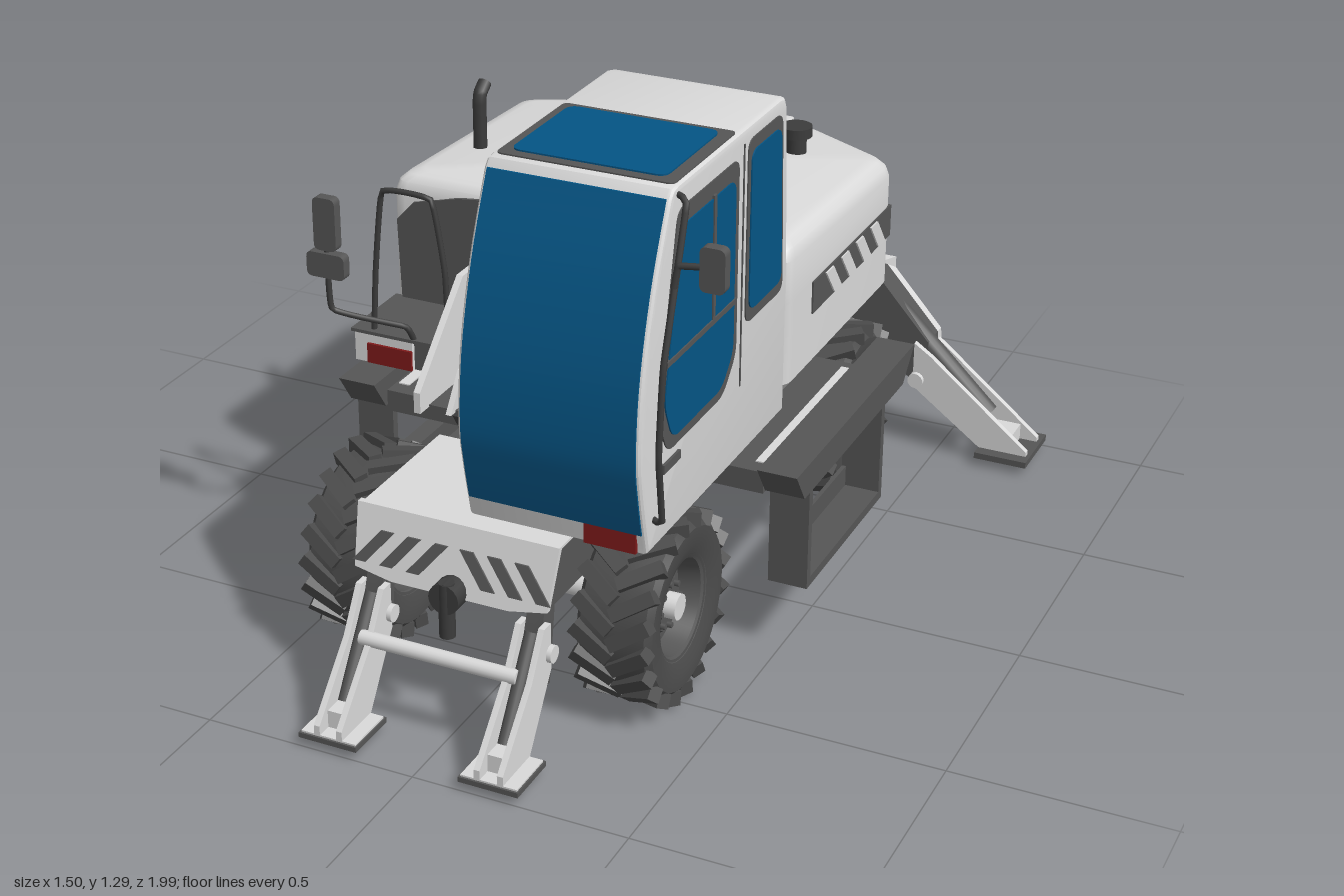
import * as THREE from 'three';
import { toCreasedNormals } from 'three/addons/utils/BufferGeometryUtils.js';

const mat = (name, color) => Object.assign(new THREE.MeshStandardMaterial({ color }), { name });
const white = mat('body white', 0xdadada);
const grey = mat('frame grey', 0x565656);
const rubber = mat('tyre rubber', 0x4b4b4b);
const black = mat('trim black', 0x3c3c3c);
const blue = mat('glass blue', 0x045585);
const red = mat('lamp red', 0x7e1a1a);
grey.side = THREE.DoubleSide;

const V = (x, y, z) => new THREE.Vector3(x, y, z);

export function createModel() {
  const root = new THREE.Group();
  root.name = 'wheeledExcavator';

  // ---- helpers ----
  const add = (name, geo, m, parent = root) => {
    const mesh = new THREE.Mesh(geo, m);
    mesh.name = name;
    parent.add(mesh);
    return mesh;
  };
  const box = (name, m, [x0, x1], [y0, y1], [z0, z1], parent) =>
    add(name, new THREE.BoxGeometry(x1 - x0, y1 - y0, z1 - z0)
      .translate((x0 + x1) / 2, (y0 + y1) / 2, (z0 + z1) / 2), m, parent);
  const rod = (name, m, a, b, r, parent, sides = 16) => {
    const d = b.clone().sub(a);
    const mesh = add(name, new THREE.CylinderGeometry(r, r, d.length(), sides), m, parent);
    mesh.position.copy(a).add(b).multiplyScalar(0.5);
    mesh.quaternion.setFromUnitVectors(V(0, 1, 0), d.normalize());
  };
  const tube = (name, m, pts, r) => add(name, new THREE.TubeGeometry(
    new THREE.CatmullRomCurve3(pts.map((p) => V(...p)), false, 'catmullrom', 0.15), 40, r, 8), m);
  const poly = (pts) => new THREE.Shape(pts.map((p) => new THREE.Vector2(...p)));
  const roundPoly = (pts, r) => {
    const s = new THREE.Shape();
    const v = pts.map((p) => new THREE.Vector2(...p));
    v.forEach((c, i) => {
      const toward = (q) => c.clone().add(q.clone().sub(c).setLength(r));
      const a = toward(v[(i + v.length - 1) % v.length]);
      const b = toward(v[(i + 1) % v.length]);
      if (i) s.lineTo(a.x, a.y); else s.moveTo(a.x, a.y);
      s.quadraticCurveTo(c.x, c.y, b.x, b.y);
    });
    s.closePath();
    return s;
  };
  const rect = (x0, x1, y0, y1, r) => roundPoly([[x0, y0], [x1, y0], [x1, y1], [x0, y1]], r);
  const shrink = (pts, k) => {
    const c = [0, 1].map((i) => pts.reduce((t, p) => t + p[i], 0) / pts.length);
    return pts.map((p) => p.map((q, i) => c[i] + (q - c[i]) * k));
  };
  // shape in (z, y), spanning x0..x1
  const sideSlab = (name, m, shape, x0, x1, bevel = 0, parent) => add(name, toCreasedNormals(
    new THREE.ExtrudeGeometry(shape, {
      depth: x1 - x0 - 2 * bevel, bevelEnabled: bevel > 0, bevelSize: bevel,
      bevelThickness: bevel, bevelOffset: -bevel, bevelSegments: 3, curveSegments: 6,
    }).rotateY(-Math.PI / 2).translate(x1 - bevel, 0, 0), 0.5), m, parent);
  // shape in (x, y), spanning z0..z1
  const frontSlab = (name, m, shape, z0, z1) => add(name, new THREE.ExtrudeGeometry(shape,
    { depth: z1 - z0, bevelEnabled: false, curveSegments: 8 }).translate(0, 0, z0), m);
  // shape in (x, -z), spanning y0..y1
  const topSlab = (name, m, shape, y0, y1) => add(name, new THREE.ExtrudeGeometry(shape,
    { depth: y1 - y0, bevelEnabled: false }).rotateX(-Math.PI / 2).translate(0, y0, 0), m);
  const slant = (x, y, w, h, lean) => poly([[x, y], [x + w, y], [x + w + lean, y + h], [x + lean, y + h]]);

  // ---- wheels ----
  const lathe = (pts, turn) => toCreasedNormals(new THREE.LatheGeometry(
    pts.map((p) => new THREE.Vector2(...p)), 40).rotateZ(turn), 0.5);
  const makeWheel = (x, z, side) => {
    const w = new THREE.Group();
    w.name = 'wheel';
    add('tyre', lathe([[0.115, -0.075], [0.15, -0.088], [0.185, -0.088], [0.2, -0.075], [0.207, 0],
      [0.2, 0.075], [0.185, 0.088], [0.15, 0.088], [0.115, 0.075]], -Math.PI / 2), rubber, w);
    for (let i = 0; i < 40; i++) {
      const s = i % 2 ? 1 : -1;
      add('treadLug', new THREE.BoxGeometry(0.106, 0.034, 0.031).rotateY(s * 0.6)
        .translate(s * 0.043, 0.2015, 0).rotateX((i * Math.PI) / 20), rubber, w);
    }
    add('rim', lathe([[0.122, 0.078], [0.11, 0.07], [0.1, 0.02], [0.075, 0.02], [0.06, 0.04], [0, 0.04]],
      (-side * Math.PI) / 2), grey, w);
    add('innerRim', lathe([[0.122, 0.078], [0.114, 0.07], [0.11, 0], [0, 0]], (side * Math.PI) / 2), grey, w);
    rod('hub', white, V(0, 0, 0), V(side * 0.07, 0, 0), 0.03, w);
    for (let i = 0; i < 8; i++) {
      const a = (i * Math.PI) / 4;
      rod('wheelNut', grey, V(0, 0.05 * Math.cos(a), 0.05 * Math.sin(a)),
        V(side * 0.052, 0.05 * Math.cos(a), 0.05 * Math.sin(a)), 0.007, w, 6);
    }
    w.position.set(x, 0.22, z);
    root.add(w);
  };
  for (const z of [0.474, -0.573]) {
    makeWheel(0.305, z, 1);
    makeWheel(-0.357, z, -1);
    rod('axle', white, V(-0.35, 0.22, z), V(0.3, 0.22, z), 0.03);
    box('axleHousing', grey, [-0.13, 0.07], [0.2, 0.34], [z - 0.07, z + 0.07]);
  }

  // ---- chassis ----
  sideSlab('chassis', grey, poly([[0.73, 0.462], [0.77, 0.32], [0.22, 0.32], [0.22, 0.2], [-0.27, 0.2],
    [-0.27, 0.32], [-0.85, 0.32], [-0.85, 0.462]]), -0.23, 0.2);
  box('chassisTop', white, [-0.25, 0.22], [0.46, 0.466], [0.4, 0.74]);
  box('midDeck', grey, [-0.47, 0.47], [0.41, 0.462], [-0.34, 0.25]);
  rod('driveShaft', white, V(-0.02, 0.26, 0.4), V(-0.02, 0.26, -0.5), 0.03);
  add('turntable', new THREE.CylinderGeometry(0.268, 0.268, 0.065, 48).translate(-0.06, 0.493, 0.135), black);

  // ---- side steps ----
  for (const s of [1, -1]) {
    const g = new THREE.Group();
    g.name = 'sideStep';
    root.add(g);
    const span = (a, b) => (s > 0 ? [a, b] : [-b, -a]);
    sideSlab('upperStep', grey, poly([[0.3, 0.494], [0.25, 0.42], [-0.37, 0.42], [-0.44, 0.494]]), ...span(0.475, 0.568), 0, g);
    box('lowerStep', grey, span(0.475, 0.568), [0.178, 0.2], [-0.25, 0.22], g);
    box('lowerStepEdge', grey, span(0.475, 0.485), [0.2, 0.25], [-0.25, 0.22], g);
    for (const z of [-0.25, 0.2]) box('stepLeg', grey, span(0.475, 0.568), [0.2, 0.42], [z, z + 0.02], g);
    box('stepBracket', white, span(0.435, 0.462), [0.44, 0.465], [-0.31, 0.21], g);
  }

  // ---- front stabiliser: the nose plate leans forward toward its foot ----
  const lean = new THREE.Matrix4().makeShear(0, 0, 0, -0.3, 0, 0);
  const noseSlab = (name, m, shape, z0, z1) =>
    frontSlab(name, m, shape, z0 + 0.1398, z1 + 0.1398).geometry.applyMatrix4(lean);
  noseSlab('frontPlate', white, poly([[-0.26, 0.466], [-0.25, 0.33], [-0.16, 0.315], [0.12, 0.315],
    [0.21, 0.33], [0.22, 0.466]]), 0.728, 0.742);
  for (const s of [1, -1]) for (const d of [0.09, 0.155, 0.22]) {
    noseSlab('frontStripe', grey, slant(-0.02 + s * d - 0.016, 0.345, 0.032, 0.072, -s * 0.06), 0.742, 0.746);
  }
  for (const x of [-0.205, 0.178]) {
    sideSlab('frontArm', grey, poly([[0.72, 0.34], [0.765, 0.34], [0.8, 0.24], [0.79, 0.14], [0.75, 0.14]]),
      x - 0.02, x + 0.02);
    for (const o of [-0.034, 0.02]) {
      sideSlab('frontLeg', white, poly([[0.77, 0.3], [0.8, 0.3], [0.86, 0.2], [0.995, 0.055], [0.995, 0.03], [0.875, 0.03],
        [0.77, 0.19]]), x + o, x + o + 0.014);
    }
    box('frontLegWeb', white, [x - 0.03, x + 0.03], [0.03, 0.075], [0.89, 0.96]);
    rod('frontPiston', grey, V(x, 0.28, 0.79), V(x, 0.08, 0.92), 0.016);
    rod('frontPivot', white, V(x - 0.045, 0.23, 0.775), V(x + 0.045, 0.23, 0.775), 0.02);
    box('frontFoot', grey, [x - 0.07, x + 0.07], [0.018, 0.03], [0.87, 1]);
    box('frontFootTop', white, [x - 0.066, x + 0.066], [0.03, 0.034], [0.875, 0.995]);
  }
  rod('frontCrossbar', white, V(-0.2, 0.203, 0.85), V(0.175, 0.203, 0.85), 0.017);
  rod('towHitch', black, V(-0.015, 0.325, 0.74), V(-0.015, 0.325, 0.82), 0.036);
  rod('towPin', black, V(-0.015, 0.23, 0.805), V(-0.015, 0.36, 0.805), 0.018);

  // ---- rear stabiliser ----
  const beam = poly([[-0.31, 0.458], [-0.46, 0.29], [-0.47, 0.19], [-0.42, 0.18], [-0.2, 0.29],
    [0.2, 0.29], [0.42, 0.18], [0.47, 0.19], [0.46, 0.29], [0.31, 0.458]]);
  frontSlab('rearBeam', white, beam, -0.97, -0.945);
  frontSlab('rearBeamCore', grey, beam, -0.945, -0.87);
  topSlab('rearBridge', white, poly([[-0.33, 0.97], [-0.24, 0.8], [-0.24, 0.55], [0.24, 0.55], [0.24, 0.8],
    [0.33, 0.97]]), 0.435, 0.465);
  for (const s of [1, -1]) {
    for (const d of [0.05, 0.14, 0.23, 0.32]) {
      frontSlab('rearStripe', grey, slant(s * d - 0.02, 0.325 - Math.max(0, d - 0.2) * 0.4, 0.04, 0.085, -s * 0.06), -0.975, -0.97);
    }
    const leg = [[0.43, 0.29], [0.475, 0.26], [0.74, 0.045], [0.74, 0.03], [0.62, 0.03], [0.43, 0.17]]
      .map(([x, y]) => [s * x, y]);
    for (const z of [-0.96, -0.868]) frontSlab('rearLeg', white, poly(leg), z, z + 0.016);
    box('rearLegWeb', white, [s * 0.66 - 0.035, s * 0.66 + 0.035], [0.03, 0.075], [-0.955, -0.855]);
    rod('rearPiston', grey, V(s * 0.34, 0.38, -0.9), V(s * 0.62, 0.11, -0.9), 0.028);
    rod('rearPivot', white, V(s * 0.44, 0.19, -0.98), V(s * 0.44, 0.19, -0.84), 0.02);
    box('rearFoot', grey, [s * 0.682 - 0.068, s * 0.682 + 0.068], [0.018, 0.034], [-0.993, -0.82]);
  }

  // ---- upper body, lofted upward from one outline ----
  const outline = roundPoly([[0.435, 0.045], [0.435, -0.61], [0.175, -0.78], [-0.285, -0.78], [-0.56, -0.61],
    [-0.56, 0.045]], 0.035).getPoints(4);
  if (outline[0].distanceTo(outline.at(-1)) < 1e-5) outline.pop();
  const topY = (z) => 0.912 + Math.min(0, z + 0.3) * 0.09;
  // [height, inset, rear groove only, follows roof slope]
  const levels = [[0.525, 0.035], [0.57, 0], [0.69, 0], [0.69, 0.022, 1], [0.77, 0.022, 1], [0.77, 0],
    [-0.045, 0, 0, 1], [-0.02, 0.008, 0, 1], [-0.005, 0.025, 0, 1], [0, 0.05, 0, 1]];
  const pos = [], idx = [], n = outline.length;
  levels.forEach(([y, inset, groove, roof]) => outline.forEach((p) => {
    const k = groove && p.y > -0.62 ? 0 : inset;
    const x = -0.0625 + (p.x + 0.0625) * (1 - k / 0.5), z = -0.37 + (p.y + 0.37) * (1 - k / 0.41);
    pos.push(x, roof ? topY(z) + y : y, z);
  }));
  for (let k = 0; k < levels.length - 1; k++) for (let j = 0; j < n; j++) {
    const a = k * n + j, b = k * n + ((j + 1) % n);
    idx.push(a, b, b + n, a, b + n, a + n);
  }
  const last = (levels.length - 1) * n;
  pos.push(-0.06, 0.525, -0.3, -0.06, 0.915, -0.3);
  for (let j = 0; j < n; j++) {
    const q = (j + 1) % n;
    idx.push(levels.length * n, q, j, levels.length * n + 1, last + j, last + q);
  }
  const bodyGeo = new THREE.BufferGeometry();
  bodyGeo.setAttribute('position', new THREE.Float32BufferAttribute(pos, 3));
  bodyGeo.setIndex(idx);
  add('upperBody', toCreasedNormals(bodyGeo, 0.6), white);

  // engine hood, cap and exhaust
  sideSlab('engineHood', white, poly([[-0.28, 0.85], [-0.28, 0.935], [-0.3, 0.947], [-0.36, 0.947], [-0.74, 0.893],
    [-0.755, 0.85]]), -0.26, 0.13, 0.006);
  sideSlab('hoodPanel', white, poly([[-0.57, 0.915], [-0.57, 0.924], [-0.735, 0.9], [-0.735, 0.89]]), -0.225, 0.1);
  rod('fillerNeck', black, V(0.22, 0.88, -0.525), V(0.22, 0.95, -0.525), 0.025);
  rod('fillerCap', black, V(0.22, 0.935, -0.525), V(0.22, 0.96, -0.525), 0.038, root, 24);
  tube('exhaust', black, [[-0.455, 0.88, -0.2], [-0.455, 1.02, -0.2], [-0.455, 1.042, -0.205], [-0.455, 1.06, -0.228]], 0.017);

  // side warning plates and rear lamps
  for (const [x, s] of [[0.435, 1], [-0.56, -1]]) {
    sideSlab('warningPlate', grey, poly([[-0.1, 0.69], [-0.1, 0.768], [-0.6, 0.768], [-0.6, 0.69]]), x - 0.004, x + 0.004);
    for (let i = 0; i < 4; i++) {
      sideSlab('warningStripe', white, slant(-0.27 - i * 0.095, 0.695, 0.045, 0.068, 0.055),
        s > 0 ? x + 0.004 : x - 0.008, s > 0 ? x + 0.008 : x - 0.004);
    }
    const lamp = add('rearLamp', new THREE.BoxGeometry(0.26, 0.076, 0.02), red);
    lamp.position.set(s > 0 ? 0.3 : -0.418, 0.73, -0.69);
    lamp.rotation.y = -s * 0.57;
  }

  // front panel, right platform and boom mount
  frontSlab('frontPanel', grey, poly([[-0.535, 0.53], [-0.545, 0.8], [-0.5, 0.85], [-0.38, 0.88], [-0.2, 0.9],
    [0.04, 0.905], [0.04, 0.53]]), 0.042, 0.05);
  box('platform', white, [-0.55, -0.4], [0.525, 0.6], [0.04, 0.25]);
  box('platformTop', grey, [-0.56, -0.3], [0.595, 0.603], [0.04, 0.25]);
  box('platformInner', grey, [-0.4, -0.3], [0.525, 0.597], [0.04, 0.24]);
  box('platformLamp', red, [-0.515, -0.4], [0.527, 0.575], [0.25, 0.257]);
  box('boomBase', grey, [-0.29, 0.03], [0.52, 0.535], [0.04, 0.4]);
  box('boomBack', grey, [-0.27, -0.03], [0.53, 0.68], [0.04, 0.17]);
  for (const x of [-0.29, -0.03]) {
    sideSlab('boomBracket', white, poly([[0.05, 0.53], [0.05, 0.66], [0.17, 0.78], [0.23, 0.78], [0.44, 0.58], [0.44, 0.53]]),
      x, x + 0.016);
  }
  for (const x of [-0.222, -0.107]) {
    sideSlab('cylinderLug', white, poly([[0.26, 0.53], [0.3, 0.615], [0.36, 0.615], [0.42, 0.53]]), x, x + 0.014);
  }

  // ---- cab ----
  const front = new THREE.SplineCurve([[0.78, 0.525], [0.81, 0.66], [0.822, 0.76], [0.806, 0.92], [0.755, 1.1],
    [0.685, 1.262]].map((p) => new THREE.Vector2(...p))).getPoints(24).map((p) => [p.x, p.y]);
  sideSlab('cabShell', white, poly([...front, [0.67, 1.278], [0.645, 1.282], [0.125, 1.282], [0.1, 1.276], [0.087, 1.25],
    [0.065, 0.88], [0.065, 0.525]]), 0.03, 0.44, 0.012);
  const screen = front.filter((p) => p[1] > 0.565);
  sideSlab('windscreen', blue, poly([...screen.map(([z, y]) => [z - 0.004, y]),
    ...screen.map(([z, y]) => [z + 0.004, y]).reverse()].reverse()), 0.04, 0.43);
  box('cabLamp', red, [0.3, 0.417], [0.527, 0.573], [0.784, 0.793]);
  topSlab('roofFrame', grey, rect(0.042, 0.432, -0.655, -0.345, 0.015), 1.277, 1.2835);
  topSlab('roofWindow', blue, rect(0.063, 0.404, -0.632, -0.363, 0.025), 1.279, 1.287);
  const door = [[0.655, 1.23], [0.353, 1.23], [0.353, 0.79], [0.42, 0.72], [0.7, 0.72], [0.745, 0.82]];
  const quarter = [[0.305, 1.25], [0.122, 1.25], [0.1, 0.835], [0.305, 0.835]];
  for (const [name, pts, k] of [['doorWindow', door, 0.88], ['quarterWindow', quarter, 0.87]]) {
    sideSlab(name + 'Frame', grey, roundPoly(pts, 0.03), 0.437, 0.443);
    sideSlab(name, blue, roundPoly(shrink(pts, k), 0.03), 0.439, 0.446);
  }
  box('doorMullion', grey, [0.44, 0.449], [0.92, 1.2], [0.48, 0.492]);
  box('doorRail', grey, [0.44, 0.449], [0.915, 0.927], [0.37, 0.715]);
  box('doorSeam', grey, [0.437, 0.442], [0.7, 1.25], [0.322, 0.327]);
  box('doorHandle', grey, [0.437, 0.446], [0.68, 0.7], [0.64, 0.72]);
  const right = [[0.665, 1.24], [0.13, 1.24], [0.105, 0.86], [0.3, 0.7], [0.55, 0.63], [0.72, 0.68], [0.765, 0.82]];
  sideSlab('rightWindowFrame', grey, roundPoly(right, 0.03), 0.027, 0.033);
  sideSlab('rightWindow', blue, roundPoly(shrink(right, 0.94), 0.03), 0.024, 0.031);
  const rear = (o, y0, y1) => poly([[0.066 + o + (y0 - 0.88) * 0.059, y0], [0.076 + (y0 - 0.88) * 0.059, y0],
    [0.076 + (y1 - 0.88) * 0.059, y1], [0.066 + o + (y1 - 0.88) * 0.059, y1]]);
  sideSlab('rearWindowFrame', grey, rear(-0.004, 0.92, 1.24), 0.055, 0.415);
  sideSlab('rearWindow', blue, rear(-0.007, 0.94, 1.22), 0.072, 0.398);

  // ---- handrails and mirrors ----
  tube('cabRail', black, [[0.435, 0.595, 0.755], [0.464, 0.6, 0.77], [0.467, 0.76, 0.795], [0.467, 0.95, 0.775],
    [0.465, 1.25, 0.67], [0.435, 1.262, 0.65]], 0.007);
  tube('leftMirrorArm', black, [[0.467, 1.1, 0.73], [0.475, 1.145, 0.725], [0.54, 1.15, 0.715]], 0.007);
  frontSlab('leftMirror', grey, rect(0.518, 0.572, 1.1, 1.195, 0.015), 0.7, 0.725);
  tube('rightMirrorArm', black, [[-0.4, 0.6, 0.24], [-0.41, 0.64, 0.26], [-0.565, 0.68, 0.32], [-0.57, 0.9, 0.32]], 0.007);
  frontSlab('rightMirror', grey, rect(-0.592, -0.535, 0.83, 0.957, 0.015), 0.315, 0.34);
  frontSlab('lowerRightMirror', grey, rect(-0.617, -0.52, 0.76, 0.82, 0.015), 0.31, 0.335);
  tube('platformRail', black, [[-0.51, 0.6, 0.23], [-0.5, 0.75, 0.23], [-0.475, 0.95, 0.23], [-0.35, 0.95, 0.23],
    [-0.32, 0.78, 0.23], [-0.315, 0.6, 0.23]], 0.007);
  return root;
}
